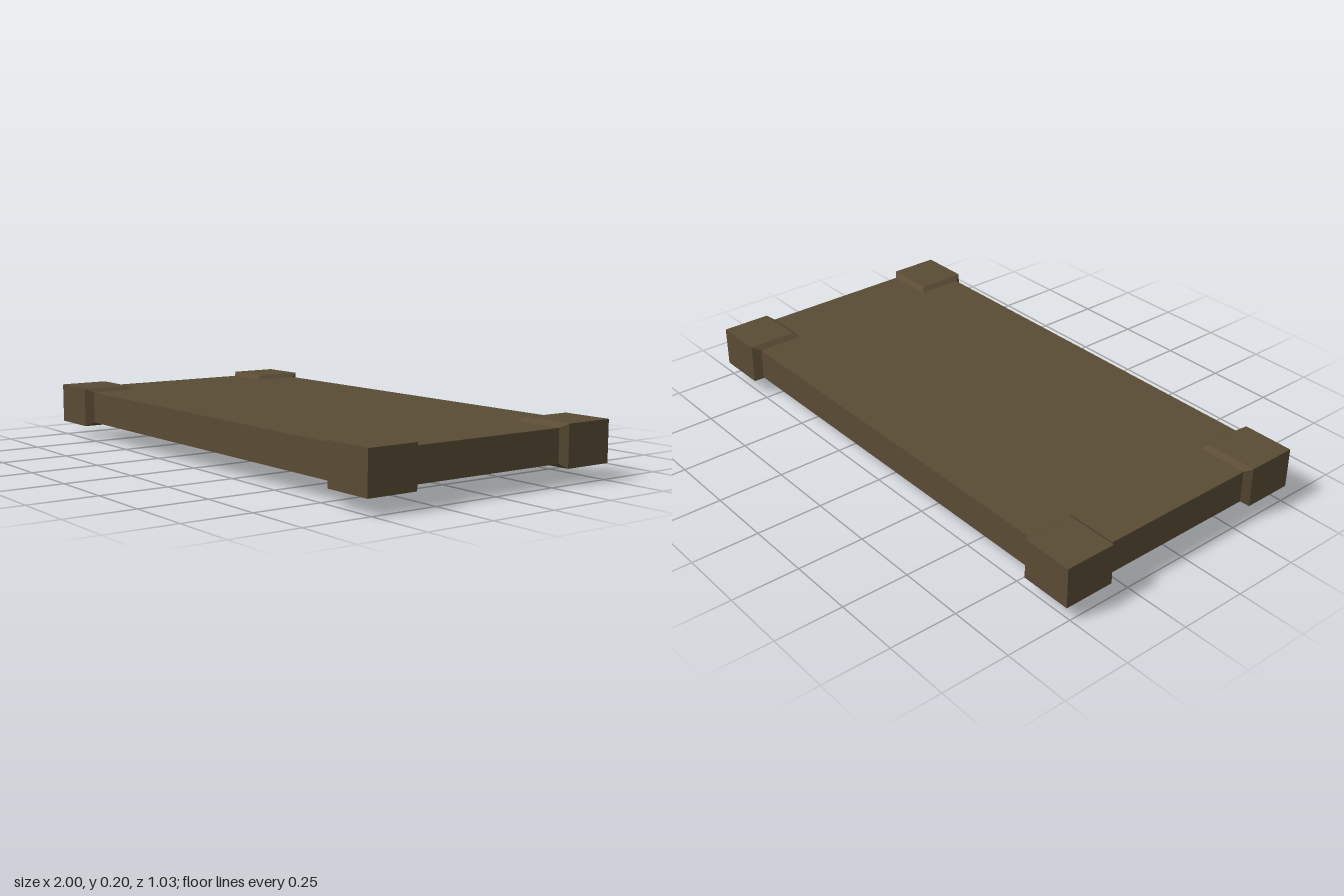
import * as THREE from 'three';
import { ConvexGeometry } from 'three/addons/geometries/ConvexGeometry.js';

const mat = (name, color) => {
  const m = new THREE.MeshStandardMaterial({ color });
  m.name = name;
  return m;
};

export function createModel() {
  const root = new THREE.Group();
  root.name = 'platform';
  const brown = mat('dark olive brown', 0x5a4c35);
  const blue = mat('slate blue', 0x4a6472);
  const panelGrey = mat('light warm grey', 0xb3aba3);
  const padGrey = mat('pad grey', 0x8c8989);

  const add = (name, geo, material, parent = root) => {
    const mesh = new THREE.Mesh(geo, material);
    mesh.name = name;
    parent.add(mesh);
    return mesh;
  };
  // Box from its minimum and maximum on each axis
  const box = (name, x0, x1, y0, y1, z0, z1, material, parent) =>
    add(name, new THREE.BoxGeometry(x1 - x0, y1 - y0, z1 - z0)
      .translate((x0 + x1) / 2, (y0 + y1) / 2, (z0 + z1) / 2), material, parent);
  // The eight corners of a box, for convex hulls
  const rect = (x0, x1, y0, y1, z0, z1) => {
    const pts = [];
    for (const x of [x0, x1]) for (const y of [y0, y1]) for (const z of [z0, z1]) pts.push([x, y, z]);
    return pts;
  };
  const hull = (name, pts, sx, sz, material, parent) =>
    add(name, new ConvexGeometry(pts.map(([x, y, z]) => new THREE.Vector3(x * sx, y, z * sz))), material, parent);
  const loop = (path, x0, x1, z0, z1) =>
    path.moveTo(x0, z0).lineTo(x1, z0).lineTo(x1, z1).lineTo(x0, z1).closePath();
  // Flat rectangular frame lying in the xz plane
  const frame = (name, outer, inner, y0, y1, parent) => {
    const shape = loop(new THREE.Shape(), ...outer);
    shape.holes.push(loop(new THREE.Path(), ...inner));
    const geo = new THREE.ExtrudeGeometry(shape, { depth: y1 - y0, bevelEnabled: false });
    return add(name, geo.rotateX(Math.PI / 2).translate(0, y1, 0), brown, parent);
  };

  // Deck with its outer rim and inner ridge underneath
  box('deck', -0.975, 0.975, 0.09, 0.19, -0.485, 0.485, brown);
  frame('outerRim', [-0.975, 0.975, -0.485, 0.485], [-0.935, 0.935, -0.445, 0.445], 0.07, 0.09);
  frame('innerRidge', [-0.815, 0.815, -0.335, 0.335], [-0.775, 0.775, -0.3, 0.3], 0.07, 0.09);

  // Underside panels
  box('centrePanel', -0.775, 0.775, 0.084, 0.091, -0.3, 0.3, blue);
  for (const s of [-1, 1]) {
    box('longStrip', -0.785, 0.785, 0.083, 0.091, s * 0.39 - 0.055, s * 0.39 + 0.055, panelGrey);
    box('shortStrip', s * 0.875 - 0.06, s * 0.875 + 0.06, 0.083, 0.091, -0.305, 0.305, panelGrey);
  }

  // Corner blocks, hollow below, with tapered inner sides
  for (const sx of [-1, 1]) for (const sz of [-1, 1]) {
    const corner = new THREE.Group();
    corner.name = 'cornerBlock';
    root.add(corner);
    const span = (s, a, b) => (s > 0 ? [a, b] : [-b, -a]);
    const ox = span(sx, 0.805, 1), oz = span(sz, 0.325, 0.515);
    const ix = span(sx, 0.835, 0.955), iz = span(sz, 0.352, 0.47);
    box('cornerCap', ...ox, 0.09, 0.205, ...oz, brown, corner);
    frame('cornerWalls', [...ox, ...oz], [...ix, ...iz], 0.055, 0.09, corner);
    box('cornerPanel', ...ix, 0.083, 0.091, ...iz, panelGrey, corner);
    hull('sideTaper', [
      ...rect(0.805, 0.805, 0.055, 0.205, 0.325, 0.515),
      ...rect(0.785, 0.785, 0.07, 0.19, 0.305, 0.485),
    ], sx, sz, brown, corner);
    hull('endTaper', [
      ...rect(0.805, 1, 0.055, 0.205, 0.325, 0.325),
      ...rect(0.785, 0.975, 0.07, 0.19, 0.305, 0.305),
    ], sx, sz, brown, corner);
  }

  // Feet: neck, flared collar and curved pad with blue ends
  for (const cx of [-0.45, 0.4]) {
    const foot = new THREE.Group();
    foot.name = 'foot';
    foot.position.x = cx;
    root.add(foot);
    box('footNeck', -0.132, 0.132, 0.05, 0.088, -0.14, 0.14, blue, foot);
    hull('footCollar', [
      ...rect(-0.135, 0.135, 0.054, 0.054, -0.14, 0.14),
      ...rect(-0.168, 0.168, 0.04, 0.04, -0.168, 0.168),
    ], 1, 1, blue, foot);
    const half = [[0.168, 0.04], [0.162, 0.034], [0.09, 0.01], [0.045, 0.004]];
    const profile = [...half, [0, 0], ...half.slice().reverse().map(([z, y]) => [-z, y])];
    const shape = new THREE.Shape(profile.map(([z, y]) => new THREE.Vector2(z, y)));
    const pad = new THREE.ExtrudeGeometry(shape, { depth: 0.336, bevelEnabled: false });
    add('footPad', pad.translate(0, 0, -0.168).rotateY(Math.PI / 2), [blue, padGrey], foot);
  }
  return root;
}
